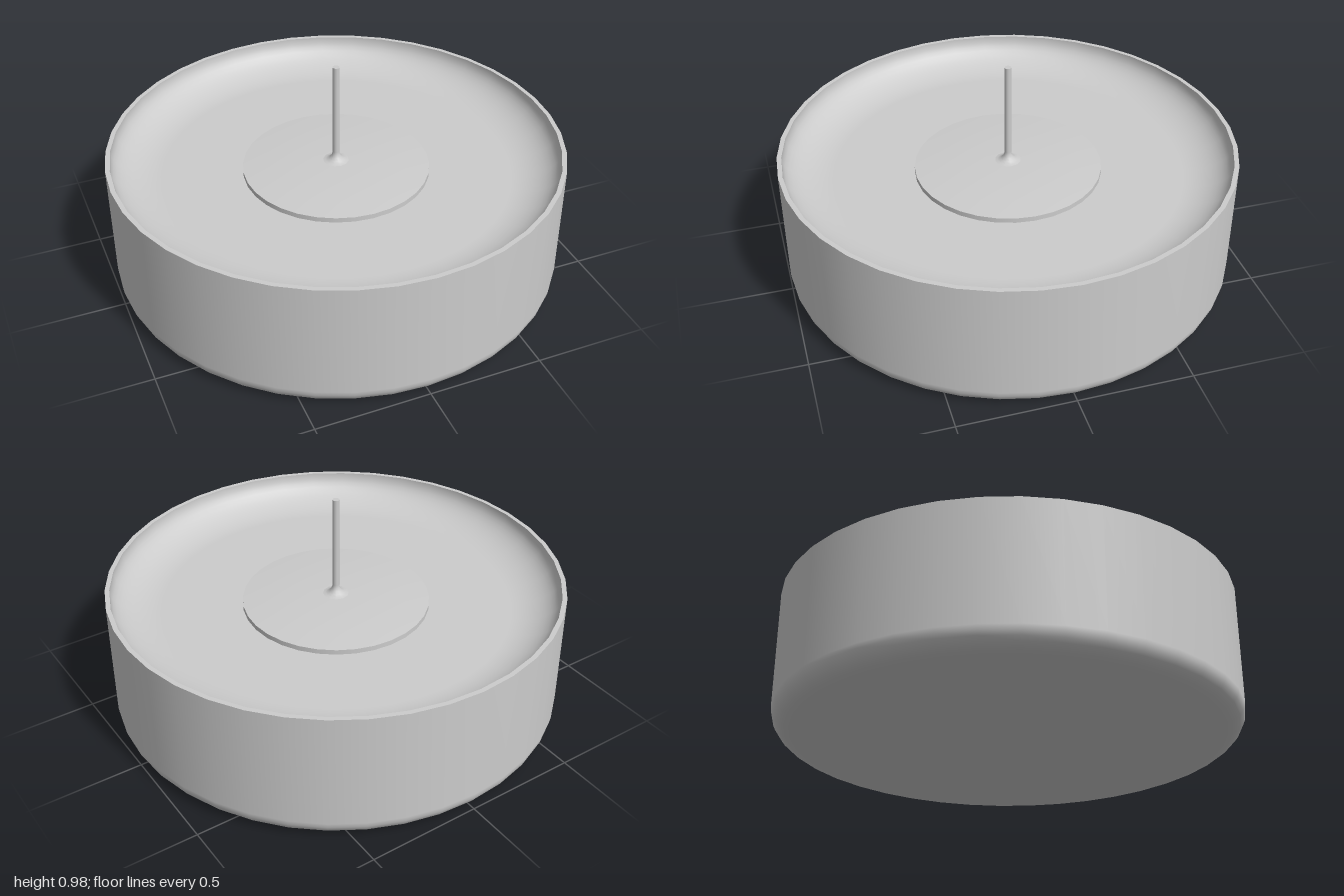
import * as THREE from 'three';
import { mergeGeometries } from 'three/addons/utils/BufferGeometryUtils.js';

// Points along a quarter ellipse (or any arc) in the profile plane
function arc(cx, cy, rx, ry, from, to, steps) {
  const pts = [];
  for (let i = 0; i <= steps; i++) {
    const a = from + ((to - from) * i) / steps;
    pts.push([cx + rx * Math.cos(a), cy + ry * Math.sin(a)]);
  }
  return pts;
}

// Revolves several smooth profile sections; the joints between sections stay sharp
function turned(name, material, segments, sections) {
  const parts = sections.map((pts) => {
    const g = new THREE.LatheGeometry(pts.map(([x, y]) => new THREE.Vector2(Math.max(x, 0), y)), segments);
    g.normalizeNormals();
    return g;
  });
  const mesh = new THREE.Mesh(mergeGeometries(parts), material);
  mesh.name = name;
  return mesh;
}

export function createModel() {
  const group = new THREE.Group();
  group.name = 'tealight';
  const grey = new THREE.MeshStandardMaterial({ color: 0xcccccc });
  grey.name = 'light grey';
  const H = Math.PI / 2;

  // Outer cup: flat base, rounded lower edge, straight wall and thin rim
  group.add(turned('cup', grey, 40, [
    [[0, 0], ...arc(0.92, 0.08, 0.08, 0.08, -H, 0, 6), [1, 0.6]],
    [[1, 0.6], [0.98, 0.6]],
  ]));

  // Recessed surface that curves up to meet the rim
  group.add(turned('wax', grey, 40, [
    [[0.98, 0.6], ...arc(0.77, 0.59, 0.21, 0.12, 0, -H, 10), [0, 0.47]],
  ]));

  // Thin, slightly domed disc holding the wick
  group.add(turned('wickDisc', grey, 32, [
    [[0.412, 0.468], [0.412, 0.492]],
    [[0.412, 0.492], [0.31, 0.501], [0.2, 0.507], [0.1, 0.51], [0, 0.511]],
  ]));

  // Wick with a flared foot and a flat tip
  group.add(turned('wick', grey, 12, [
    [...arc(0.06, 0.555, 0.045, 0.045, -H, -2 * H, 5), [0.015, 0.975]],
    [[0.015, 0.975], [0, 0.975]],
  ]));

  return group;
}
